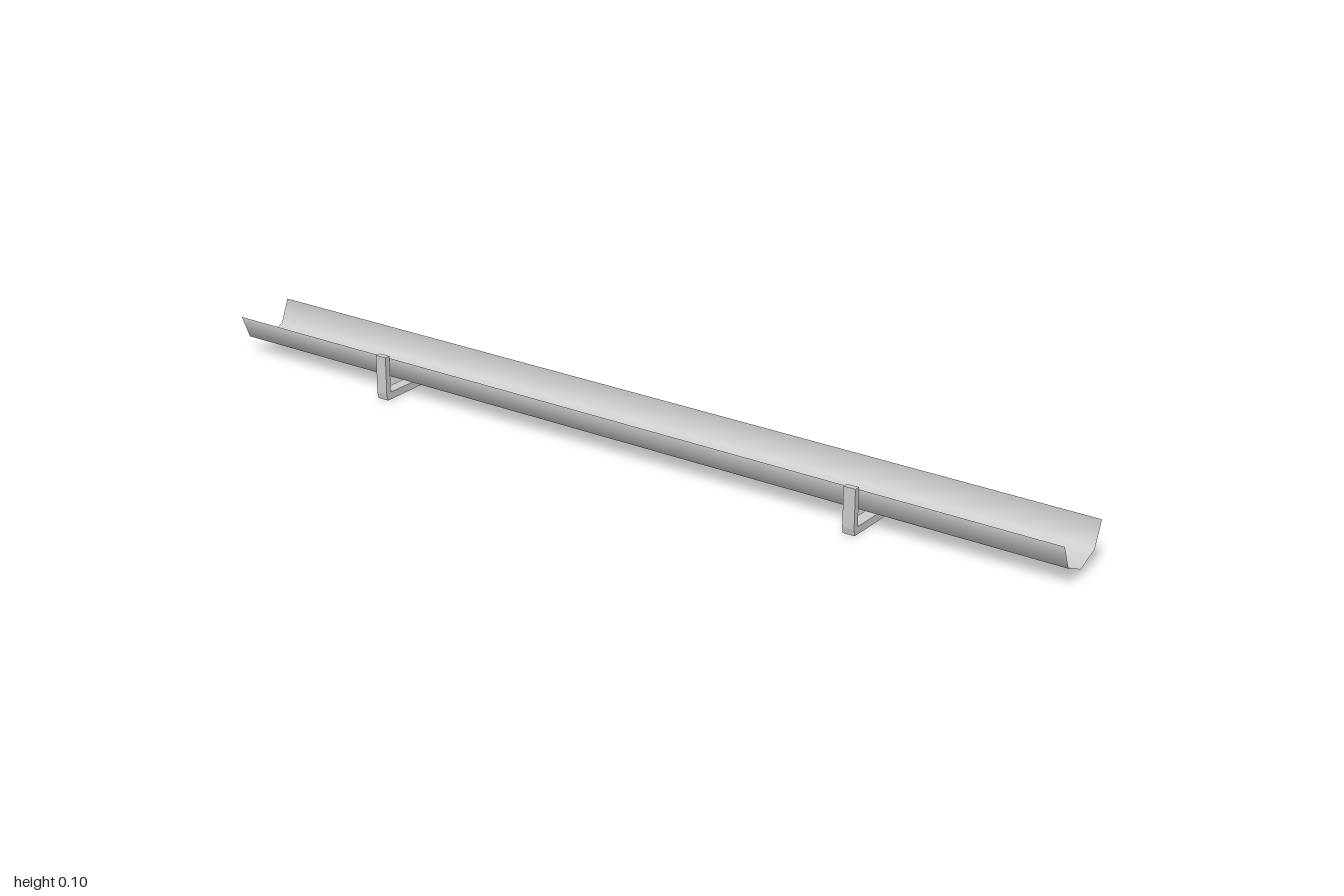
import * as THREE from 'three';

export function createModel() {
  const model = new THREE.Group();
  const metal = new THREE.MeshStandardMaterial({ color: 0xcccccc, side: THREE.DoubleSide });
  metal.name = 'light grey metal';

  // Open half-round trough: a thin, coarse half cylinder lying along x
  const radius = 0.0725;
  const troughGeo = new THREE.CylinderGeometry(radius, radius, 2, 4, 1, true, 0, Math.PI);
  troughGeo.rotateZ(Math.PI / 2); // axis along x, the half now bulges up or down in y
  troughGeo.computeBoundingBox();
  if (troughGeo.boundingBox.max.y > 0.01) troughGeo.rotateX(Math.PI); // open side up
  const trough = new THREE.Mesh(troughGeo, metal);
  trough.name = 'trough';
  trough.position.set(0, 0.0895, -0.008);
  model.add(trough);

  // L-shaped brackets: a flat foot under the trough and an upright in front
  const profile = new THREE.Shape([
    [-0.08, 0.001], [0.08, 0], [0.083, 0.014], [0.083, 0.097],
    [0.07, 0.097], [0.07, 0.016], [-0.08, 0.016],
  ].map(([z, y]) => new THREE.Vector2(-z, y)));
  const width = 0.026;
  const bracketGeo = new THREE.ExtrudeGeometry(profile, { depth: width, bevelEnabled: false });
  bracketGeo.translate(0, 0, -width / 2);
  bracketGeo.rotateY(Math.PI / 2); // profile x becomes -z, depth becomes x
  for (const [name, x] of [['rightBracket', -0.585], ['leftBracket', 0.563]]) {
    const bracket = new THREE.Mesh(bracketGeo, metal);
    bracket.name = name;
    bracket.position.x = x;
    model.add(bracket);
  }
  return model;
}
